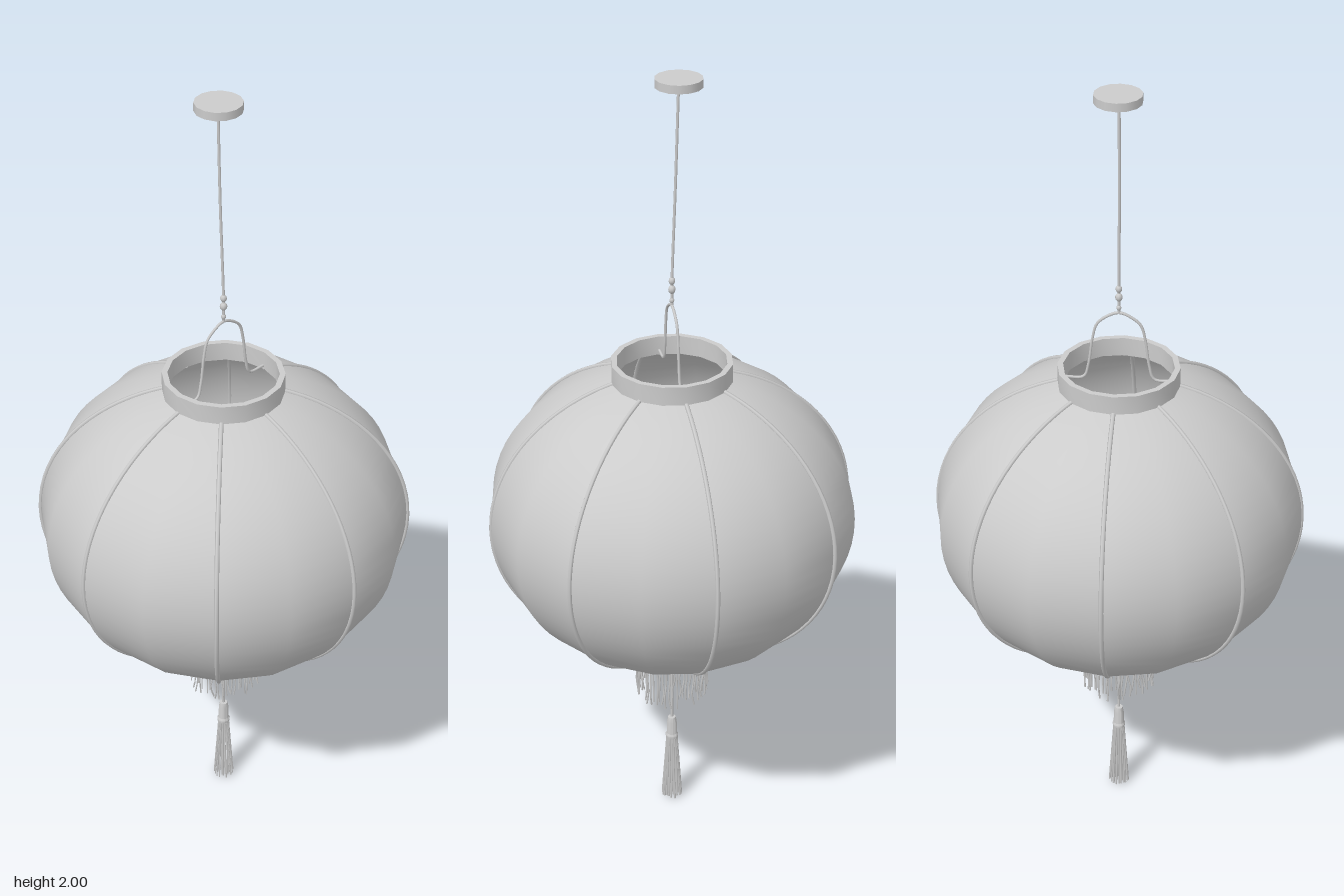
import * as THREE from 'three';
import { mergeGeometries, toCreasedNormals } from 'three/addons/utils/BufferGeometryUtils.js';

const material = new THREE.MeshStandardMaterial({ color: 0xcccccc, side: THREE.DoubleSide });
const V = (x, y, z) => new THREE.Vector3(x, y, z);

let seed = 7;
const rand = () => (seed = (seed * 16807) % 2147483647) / 2147483647;

// Shade outline: a flattened circle cut off at the two rings
const MID = 0.884, RADIUS = 0.455, HALF_HEIGHT = 0.388;
const shadeProfile = (steps, low, high) => {
  const points = [];
  for (let i = 0; i <= steps; i++) {
    const a = THREE.MathUtils.lerp(-Math.acos(low / RADIUS), Math.acos(high / RADIUS), i / steps);
    points.push(new THREE.Vector2(RADIUS * Math.cos(a), MID + HALF_HEIGHT * Math.sin(a)));
  }
  return points;
};

const tube = (points, radius, segments = 12, sides = 6) =>
  new THREE.TubeGeometry(new THREE.CatmullRomCurve3(points), segments, radius, sides);

// Hollow band with a rectangular section
const band = (inner, outer, bottom, top) => {
  const corners = [[inner, bottom], [outer, bottom], [outer, top], [inner, top], [inner, bottom]];
  const lathe = new THREE.LatheGeometry(corners.map(([r, y]) => new THREE.Vector2(r, y)), 16);
  return toCreasedNormals(lathe, 0.6);
};

export function createModel() {
  const group = new THREE.Group();
  group.name = 'hangingLantern';
  const add = (name, geometry) => {
    const mesh = new THREE.Mesh(geometry, material);
    mesh.name = name;
    group.add(mesh);
    return mesh;
  };

  // Paper shade, open at both ends
  add('shade', new THREE.LatheGeometry(shadeProfile(28, 0.09, 0.14), 16));

  // Eight ribs; the diagonal ones stand out slightly more
  for (let i = 0; i < 8; i++) {
    const lift = i % 2 ? 0.002 : -0.001;
    const path = shadeProfile(20, 0.085, 0.135).map(p => V(p.x + lift, p.y, 0));
    add('rib', tube(path, 0.0055, 36)).rotation.y = i * Math.PI / 4;
  }

  // Rings at the two openings
  add('topRing', band(0.134, 0.148, 1.25, 1.298));
  add('bottomRing', band(0.085, 0.094, 0.457, 0.512));

  // Wire handle rising from inside the top ring
  const right = [V(0.131, 1.262, 0), V(0.085, 1.265, 0), V(0.073, 1.3, 0), V(0.063, 1.37, 0),
    V(0.052, 1.41, 0), V(0.03, 1.43, 0)];
  const left = right.map(p => V(-p.x, p.y, 0)).reverse();
  add('handle', tube([...right, V(0, 1.442, 0), ...left], 0.0035, 60));

  // Hanging cord with its knot, leaning slightly back
  add('cord', tube([V(0, 1.44, 0), V(0, 1.5, 0), V(-0.002, 1.75, -0.009), V(-0.002, 1.985, -0.016)], 0.0035, 20));
  for (const [y, r] of [[1.455, 0.006], [1.483, 0.009], [1.505, 0.008]]) {
    const knot = add('knot', new THREE.SphereGeometry(r, 8, 6));
    knot.position.set(0, y, 0);
    knot.scale.y = 1.2;
  }

  // Ceiling plate
  const plate = add('ceilingPlate', toCreasedNormals(new THREE.CylinderGeometry(0.056, 0.056, 0.02, 14), 0.6));
  plate.position.set(0, 1.99, -0.016);

  // Crossed wires carrying the tassel
  for (const turn of [0, Math.PI / 2]) {
    add('crossWire', tube([V(-0.088, 0.5, 0), V(0.088, 0.5, 0)], 0.003, 1)).rotation.y = turn;
  }

  // Fringe of uneven threads around the bottom ring
  const fringe = [];
  const threads = 64;
  for (let i = 0; i < threads; i++) {
    const a = i / threads * Math.PI * 2;
    const end = 0.34 + rand() * 0.04;
    const points = [0, 0.35, 0.7, 1].map((t, k) => {
      const angle = a + (k ? (rand() - 0.5) * 0.09 : 0);
      const r = 0.0895 + (k ? (rand() - 0.5) * 0.008 : 0);
      return V(Math.sin(angle) * r, THREE.MathUtils.lerp(0.462, end, t), Math.cos(angle) * r);
    });
    fringe.push(tube(points, 0.0022, 6, 4));
  }
  add('fringe', mergeGeometries(fringe));

  // Tassel: cord, bound head and flared threads
  add('tasselCord', tube([V(0, 0.5, 0), V(0, 0.245, 0)], 0.004, 1));
  const head = [[0, 0.257], [0.01, 0.255], [0.013, 0.24], [0.014, 0.205], [0.017, 0.2], [0.016, 0.192], [0, 0.192]];
  add('tasselHead', toCreasedNormals(
    new THREE.LatheGeometry(head.map(([r, y]) => new THREE.Vector2(r, y)).reverse(), 12), 0.7));
  const skirt = [];
  for (const [count, top, bottom] of [[20, 0.0125, 0.025], [12, 0.008, 0.016], [5, 0.003, 0.006]]) {
    for (let i = 0; i < count; i++) {
      const a = (i + rand() * 0.4) / count * Math.PI * 2;
      const end = 0.002 + rand() * 0.012;
      const points = [0, 0.5, 1].map(t => {
        const r = THREE.MathUtils.lerp(top, bottom, t);
        const angle = a + (rand() - 0.5) * 0.25 * t;
        return V(Math.sin(angle) * r, THREE.MathUtils.lerp(0.198, end, t), Math.cos(angle) * r);
      });
      skirt.push(tube(points, 0.0024, 6, 4));
    }
  }
  add('tasselThreads', mergeGeometries(skirt));

  return group;
}
